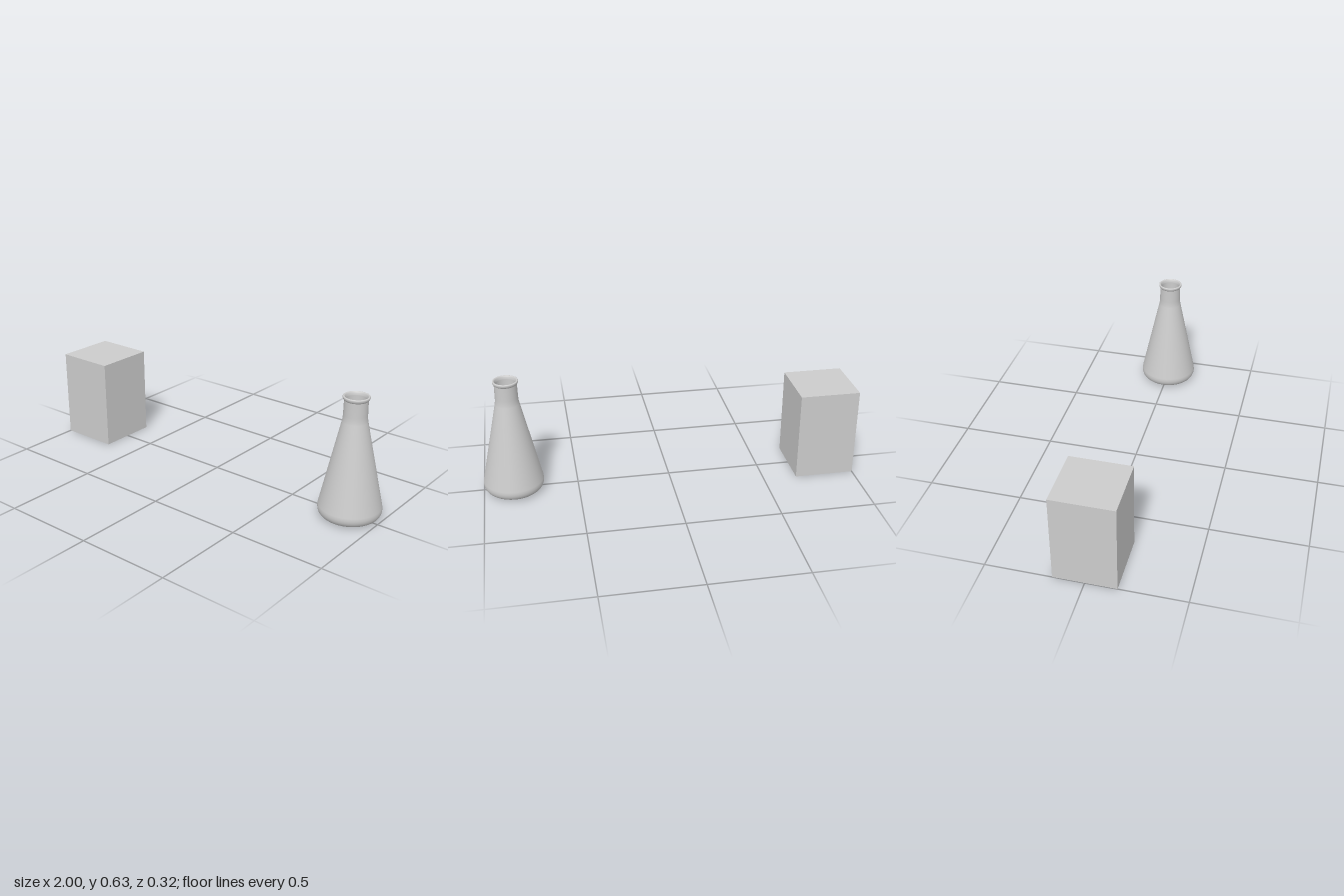
import * as THREE from 'three';

const material = () => new THREE.MeshStandardMaterial({ color: 0xcccccc });

export function createModel() {
  const model = new THREE.Group();

  // Plain rectangular block
  const block = new THREE.Mesh(new THREE.BoxGeometry(0.32, 0.482, 0.32), material());
  block.name = 'block';
  block.position.set(-0.84, 0.241, 0);
  model.add(block);

  // Conical flask: outer wall upward, over the lip, inner wall back down
  const profile = new THREE.Path();
  profile.moveTo(0, 0);
  profile.lineTo(0.108, 0);
  profile.bezierCurveTo(0.14, 0, 0.166, 0.022, 0.158, 0.062);
  profile.lineTo(0.0625, 0.505);
  profile.quadraticCurveTo(0.0595, 0.52, 0.059, 0.54);
  profile.lineTo(0.058, 0.613);
  profile.bezierCurveTo(0.062, 0.616, 0.0655, 0.622, 0.0655, 0.628);
  profile.quadraticCurveTo(0.0655, 0.634, 0.06, 0.634);
  profile.quadraticCurveTo(0.054, 0.634, 0.051, 0.615);
  profile.lineTo(0.052, 0.54);
  profile.quadraticCurveTo(0.0525, 0.52, 0.0555, 0.505);
  profile.lineTo(0.15, 0.062);
  profile.bezierCurveTo(0.156, 0.03, 0.135, 0.009, 0.108, 0.009);
  profile.lineTo(0, 0.009);

  const flask = new THREE.Mesh(new THREE.LatheGeometry(profile.getPoints(8), 64), material());
  flask.name = 'conicalFlask';
  flask.position.x = 0.84;
  model.add(flask);

  return model;
}
